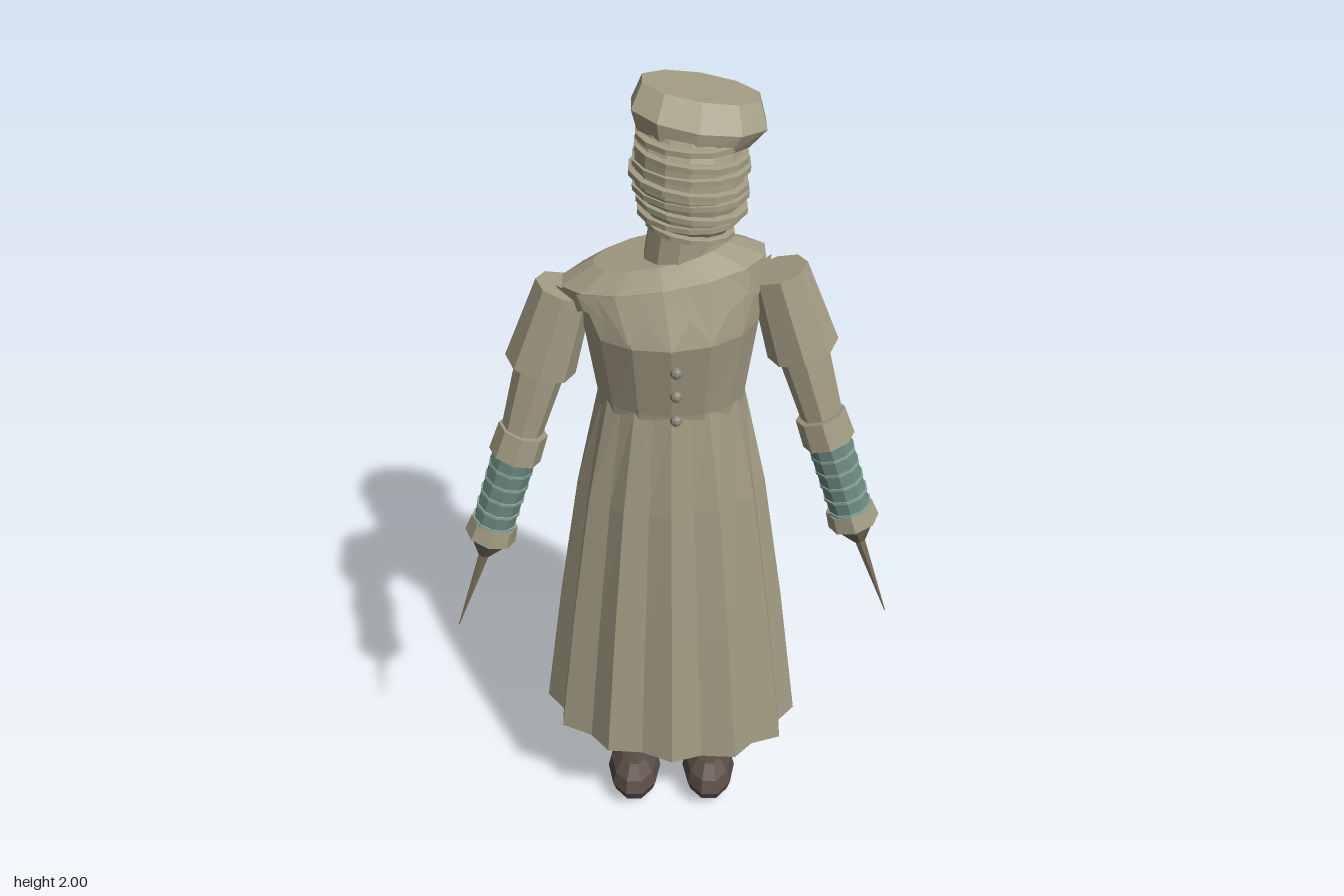
import * as THREE from 'three';

const mat = (name, color) => new THREE.MeshStandardMaterial({ name, color, flatShading: true });

// Closed skin over elliptical sections listed from bottom to top.
// Section: [cx, cy, cz, rx, rz, slope, flute]; slope raises the +x side, flute pulls in every second column.
function sectionPoint([cx, cy, cz, rx, rz, slope = 0, flute = 0], j, n) {
  const a = (j / n) * Math.PI * 2;
  const k = Math.abs(j % 2) === 1 ? 1 - flute : 1;
  const x = Math.sin(a) * rx * k;
  return new THREE.Vector3(cx + x, cy + slope * x, cz + Math.cos(a) * rz * k);
}

function loft(sections, n) {
  const pos = [], idx = [];
  for (const s of sections)
    for (let j = 0; j < n; j++) pos.push(...sectionPoint(s, j, n).toArray());
  const last = (sections.length - 1) * n;
  const bottom = pos.length / 3, top = bottom + 1;
  pos.push(...sections[0].slice(0, 3), ...sections[sections.length - 1].slice(0, 3));
  for (let j = 0; j < n; j++) {
    const k = (j + 1) % n;
    for (let i = 0; i < last; i += n) idx.push(i + j, i + k, i + n + k, i + j, i + n + k, i + n + j);
    idx.push(bottom, k, j, top, last + j, last + k);
  }
  const g = new THREE.BufferGeometry();
  g.setAttribute('position', new THREE.Float32BufferAttribute(pos, 3));
  g.setIndex(idx);
  g.computeVertexNormals();
  return g;
}

export function createModel() {
  const model = new THREE.Group();
  model.name = 'bandagedNurse';
  const cloth = mat('drab cloth', 0xa29b83);
  const leather = mat('dark leather', 0x584b44);
  const glass = mat('green glass', 0x6c8981);
  const glassBand = mat('pale green band', 0x8aa59b);
  const metal = mat('tarnished metal', 0x776a5a);
  const buttonGrey = mat('button grey', 0x8a8576);

  const add = (name, geometry, material, parent = model) => {
    const m = new THREE.Mesh(geometry, material);
    m.name = name;
    parent.add(m);
    return m;
  };

  // Legs and shoes
  for (const s of [-1, 1]) {
    add('leg', new THREE.CylinderGeometry(0.066, 0.048, 0.37, 10), cloth).position.set(s * 0.1, 0.325, 0.003);
    const shoe = add('shoe', new THREE.SphereGeometry(1, 10, 6), leather);
    shoe.scale.set(0.07, 0.065, 0.117);
    shoe.position.set(s * 0.1, 0.068, 0.033);
  }

  // Pleated skirt with a slanting hem
  add('skirt', loft([
    [0, 0.273, 0, 0.325, 0.23, -0.08, 0.1],
    [0, 0.65, 0, 0.277, 0.198, -0.04, 0.1],
    [0, 1.0, 0, 0.225, 0.162, 0, 0.09],
    [0, 1.26, 0, 0.17, 0.125, 0, 0.04],
  ], 24), cloth);

  // Bodice, one shoulder lower than the other
  const N = 14;
  const chest = [0, 1.455, 0, 0.2, 0.165, 0.04];
  const shoulder = [-0.018, 1.58, -0.002, 0.23, 0.124, 0.17];
  add('bodice', loft([
    [0, 1.2, 0, 0.165, 0.12],
    [0, 1.26, 0, 0.171, 0.126],
    chest,
    shoulder,
    [-0.025, 1.615, -0.008, 0.15, 0.085, 0.2],
  ], N), cloth);

  // Pointed collar laid on the front of the chest
  const onChest = (j, t) => {
    const j0 = Math.floor(j), f = j - j0;
    const at = (k) => sectionPoint(shoulder, k, N).lerp(sectionPoint(chest, k, N), t);
    const p = at(j0).lerp(at(j0 + 1), f);
    const out = new THREE.Vector3(p.x * 0.5, 0.04, p.z).normalize();
    return p.addScaledVector(out, 0.013);
  };
  const collarPos = [], collarIdx = [];
  for (let i = 0; i <= 12; i++) {
    const j = i / 2 - 3;
    const depth = i % 2 ? 0.5 : Math.abs(j) > 1 ? 0.5 - 0.15 * (Math.abs(j) - 1) : j === 0 ? 1 : 0.9;
    collarPos.push(...onChest(j, 0).toArray(), ...onChest(j, depth).toArray());
    if (i) collarIdx.push(2 * i - 2, 2 * i - 1, 2 * i + 1, 2 * i - 2, 2 * i + 1, 2 * i);
  }
  const collarGeo = new THREE.BufferGeometry();
  collarGeo.setAttribute('position', new THREE.Float32BufferAttribute(collarPos, 3));
  collarGeo.setIndex(collarIdx);
  collarGeo.computeVertexNormals();
  const collarCloth = mat('collar cloth', 0xa69f87);
  collarCloth.side = THREE.DoubleSide;
  add('collar', collarGeo, collarCloth);

  // Buttons
  for (const [y, z] of [[1.395, 0.154], [1.327, 0.143], [1.256, 0.133]])
    add('button', new THREE.SphereGeometry(0.014, 8, 6), buttonGrey).position.set(0.01, y, z);

  // Neck and head core
  add('neck', loft([[0.01, 1.58, 0, 0.078, 0.077], [0.025, 1.72, 0, 0.07, 0.072]], 10), cloth);
  add('head', loft([
    [0.045, 1.675, 0.015, 0.07, 0.066, -0.1],
    [0.042, 1.72, 0.018, 0.1, 0.094, -0.1],
    [0.037, 1.79, 0.018, 0.118, 0.112, -0.1],
    [0.037, 1.86, 0.015, 0.117, 0.108, -0.1],
    [0.043, 1.91, 0.005, 0.105, 0.092, -0.1],
  ], 14), cloth);

  // Bandage wraps, each at a slightly different tilt
  const tilts = [-0.14, -0.08, -0.13, -0.07, -0.13, -0.06, -0.11, -0.08];
  tilts.forEach((tilt, i) => {
    const y = 1.692 + i * 0.029;
    const r = 0.13 * Math.sqrt(1 - ((y - 1.81) / 0.18) ** 2);
    const cx = 0.04 - 0.004 * Math.sin(i * 2), cz = 0.017 + 0.004 * Math.cos(i * 3);
    const ring = (dy, k) => [cx, y + dy, cz, r * k, r * 0.93 * k, tilt];
    add('bandageWrap', loft([ring(-0.008, 0.92), ring(-0.006, 1), ring(0.006, 1), ring(0.008, 0.92)], 14), cloth);
  });

  // Cap, sloping down at the front
  add('cap', loft([
    [0.047, 1.887, -0.003, 0.122, 0.1, -0.13],
    [0.058, 1.932, -0.008, 0.149, 0.108, -0.16],
    [0.063, 1.978, -0.036, 0.13, 0.08, -0.17],
  ], 10), cloth);

  // Arms ending in syringes; the right one hangs lower
  for (const [side, drop] of [[1, 0], [-1, 0.04]]) {
    const arm = new THREE.Group();
    arm.name = side > 0 ? 'leftArm' : 'rightArm';
    model.add(arm);
    const point = (p) => new THREE.Vector3(side * p[0], p[1] - drop, p[2]);
    const limb = (name, a, b, r0, r1, material, sides = 8) => {
      const from = point(a), to = point(b), dir = to.clone().sub(from);
      const m = add(name, new THREE.CylinderGeometry(r0, r1, dir.length(), sides), material, arm);
      m.quaternion.setFromUnitVectors(new THREE.Vector3(0, -1, 0), dir.normalize());
      m.position.copy(from).lerp(to, 0.5);
    };
    limb('puffSleeve', [0.236, 1.575, 0.014], [0.298, 1.38, 0.022], 0.067, 0.083, cloth);
    limb('forearm', [0.285, 1.42, 0.022], [0.358, 1.18, 0.057], 0.062, 0.046, cloth);
    limb('cuff', [0.343, 1.222, 0.053], [0.366, 1.155, 0.061], 0.059, 0.062, cloth);

    const glassTop = [0.365, 1.16, 0.06], glassEnd = [0.432, 0.945, 0.066];
    const along = (t) => glassTop.map((v, i) => v + (glassEnd[i] - v) * t);
    limb('syringeBarrel', glassTop, glassEnd, 0.053, 0.05, glass, 10);
    for (let i = 0; i < 5; i++) {
      const t = 0.15 + i * 0.18;
      limb('barrelBand', along(t), along(t + 0.03), 0.0545, 0.0545, glassBand, 10);
    }
    limb('syringeRim', [0.424, 0.965, 0.066], [0.437, 0.925, 0.069], 0.057, 0.062, cloth);
    limb('syringeNozzle', [0.437, 0.925, 0.069], [0.455, 0.872, 0.076], 0.056, 0.016, metal);
    limb('needle', [0.452, 0.88, 0.075], [0.528, 0.67, 0.104], 0.014, 0.001, metal, 6);
  }
  return model;
}
